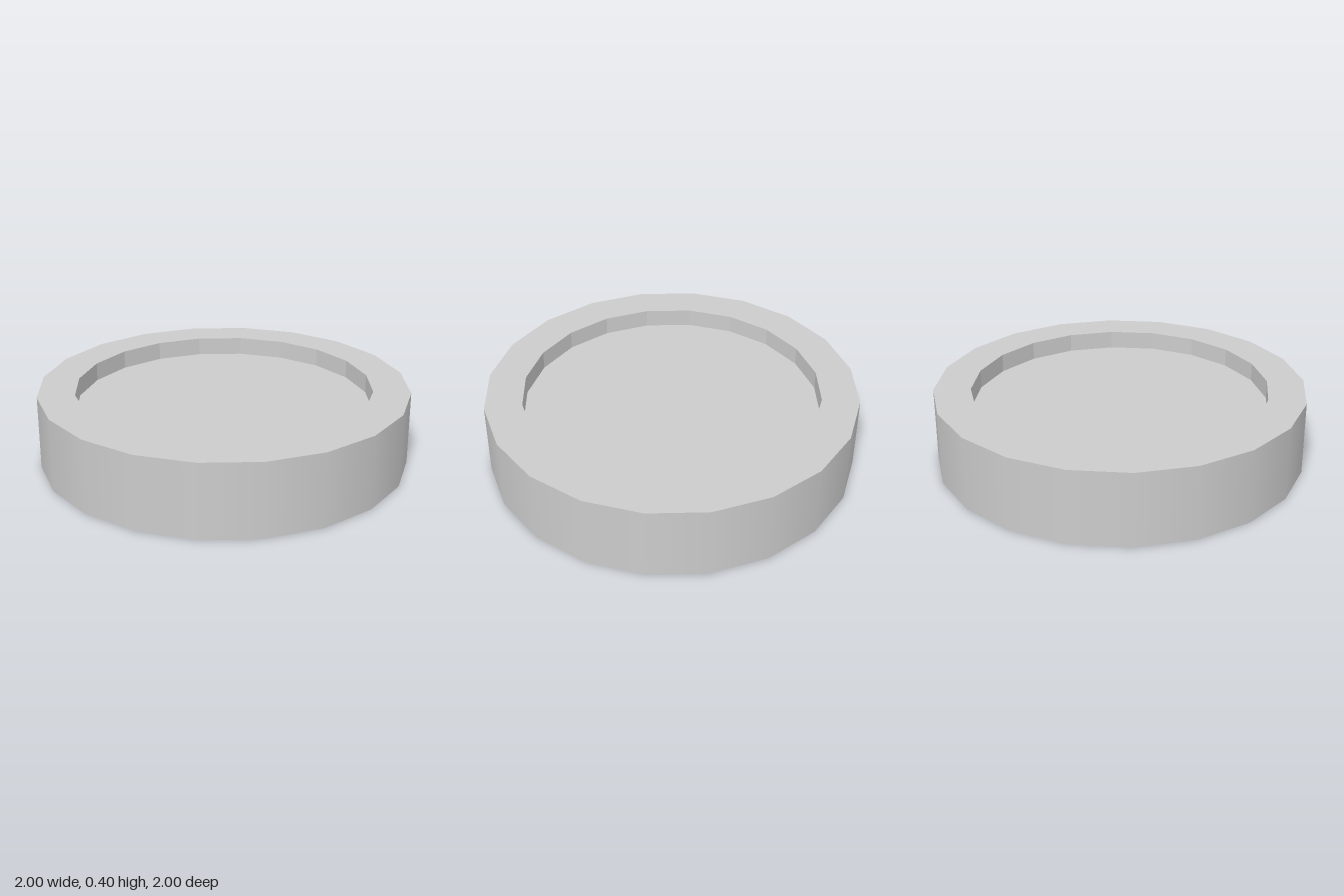
import * as THREE from 'three';

const SIDES = 20, OUTER = 1, INNER = 0.8, HEIGHT = 0.4, RECESS = 0.1;

export function createModel() {
  const group = new THREE.Group();
  group.name = 'recessedDisc';
  const smooth = new THREE.MeshStandardMaterial({ color: 0xcccccc });
  const flat = new THREE.MeshStandardMaterial({ color: 0xcccccc, flatShading: true });

  const add = (name, geometry, material, parent) => {
    const mesh = new THREE.Mesh(geometry, material);
    mesh.name = name;
    parent.add(mesh);
    return mesh;
  };

  // Smooth outer wall
  add('outerWall', new THREE.CylinderGeometry(OUTER, OUTER, HEIGHT, SIDES, 1, true), smooth, group)
    .position.y = HEIGHT / 2;

  // One face of the disc: flat rim, faceted recess wall and sunken panel
  const addFace = (name) => {
    const face = new THREE.Group();
    face.name = name;
    add('rim', new THREE.RingGeometry(INNER, OUTER, SIDES).rotateX(-Math.PI / 2), flat, face);
    // Profile runs downwards so the wall faces the axis
    const profile = [new THREE.Vector2(INNER, 0), new THREE.Vector2(INNER, -RECESS)];
    const wall = new THREE.LatheGeometry(profile, SIDES).toNonIndexed();
    wall.computeVertexNormals();
    add('recessWall', wall, flat, face);
    add('panel', new THREE.CircleGeometry(INNER, SIDES).rotateX(-Math.PI / 2), flat, face)
      .position.y = -RECESS;
    group.add(face);
    return face;
  };

  addFace('topFace').position.y = HEIGHT;
  addFace('bottomFace').rotation.x = Math.PI;

  return group;
}
